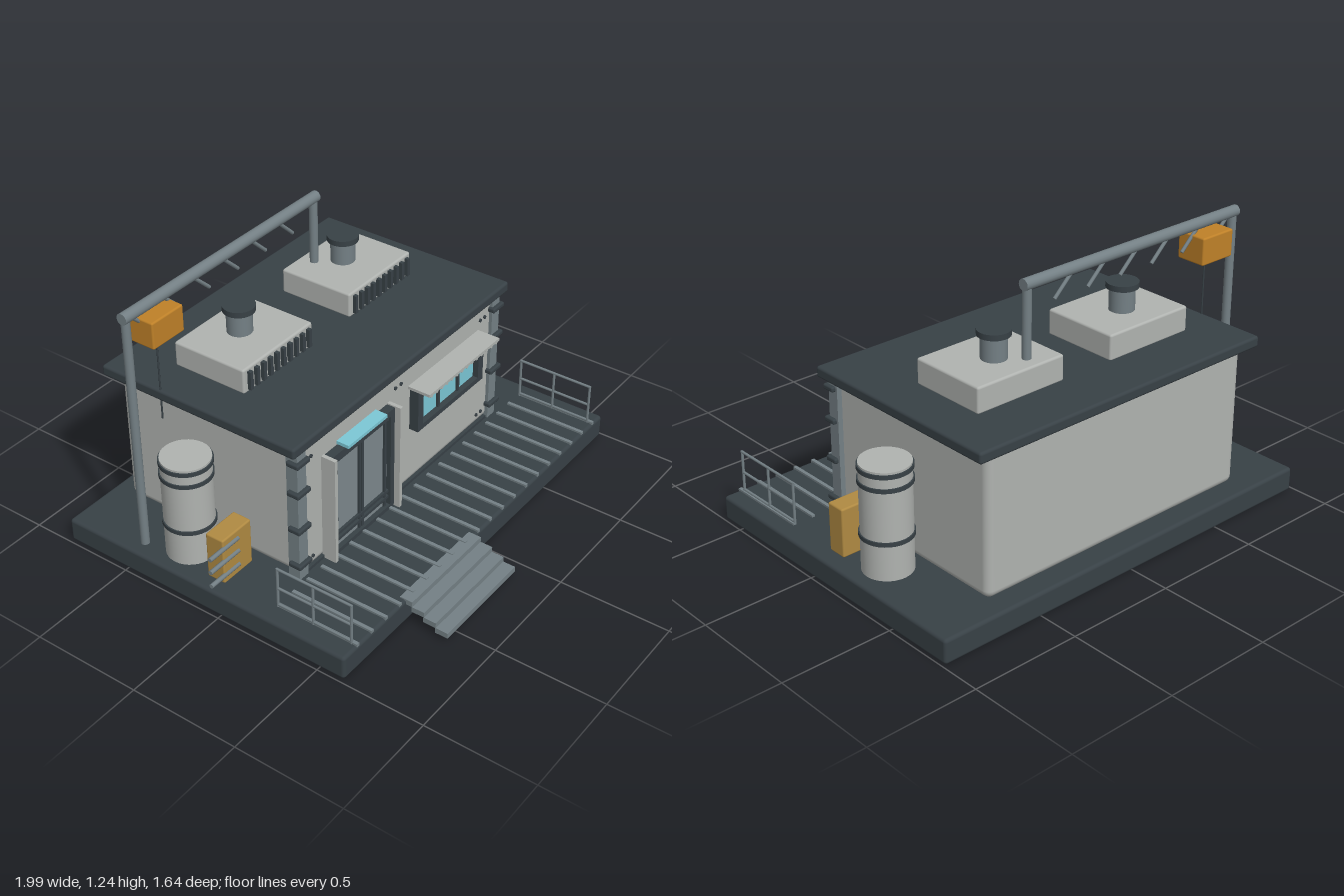
import * as THREE from 'three';
import { RoundedBoxGeometry } from 'three/addons/geometries/RoundedBoxGeometry.js';

const mat = (color) => new THREE.MeshStandardMaterial({ color });

export function createModel() {
  const root = new THREE.Group();
  const dark = mat(0x384146), wall = mat(0xb0b3b0), steel = mat(0x748085), pane = mat(0x7d888c);
  const ochre = mat(0xb08a42), orange = mat(0xbf8128), glass = mat(0x7cc8d6);

  const add = (name, geometry, material, parent = root) => {
    const mesh = new THREE.Mesh(geometry, material);
    mesh.name = name;
    parent.add(mesh);
    return mesh;
  };
  // Box given by its extents on each axis; r rounds the edges
  const box = (name, [x0, x1], [y0, y1], [z0, z1], material, r = 0, parent = root) => {
    const s = [x1 - x0, y1 - y0, z1 - z0];
    const m = add(name, r ? new RoundedBoxGeometry(...s, 3, r) : new THREE.BoxGeometry(...s), material, parent);
    m.position.set((x0 + x1) / 2, (y0 + y1) / 2, (z0 + z1) / 2);
    return m;
  };
  // Round rod between two points
  const rod = (name, a, b, r, material, parent = root, sides = 16) => {
    const p = new THREE.Vector3(...a), q = new THREE.Vector3(...b);
    const d = q.clone().sub(p);
    const m = add(name, new THREE.CylinderGeometry(r, r, d.length(), sides), material, parent);
    m.position.copy(p).add(q).multiplyScalar(0.5);
    m.quaternion.setFromUnitVectors(new THREE.Vector3(0, 1, 0), d.normalize());
    return m;
  };
  const group = (name) => {
    const g = new THREE.Group();
    g.name = name;
    root.add(g);
    return g;
  };

  // Main masses
  box('basePlatform', [-0.985, 0.99], [0, 0.11], [-0.82, 0.62], dark, 0.015);
  box('buildingBody', [-0.7, 0.7], [0.11, 0.75], [-0.73, 0.19], wall, 0.035);
  box('roofSlab', [-0.76, 0.77], [0.74, 0.79], [-0.77, 0.22], dark, 0.012);
  box('wallSkirting', [-0.66, 0.66], [0.11, 0.125], [0.17, 0.2], dark);

  // Corner pillars with clamps
  for (const s of [-1, 1]) {
    const g = group('cornerPillar');
    box('pillar', [s * 0.695 - 0.028, s * 0.695 + 0.028], [0.11, 0.74], [0.15, 0.205], steel, 0, g);
    for (const y of [0.185, 0.365, 0.545, 0.69])
      box('pillarClamp', [s * 0.698 - 0.042, s * 0.698 + 0.042], [y - 0.012, y + 0.012], [0.16, 0.222], dark, 0.008, g);
  }

  // Wall rivets
  for (const x of [-0.62, -0.05, -0.01, 0.59, 0.625])
    for (const y of [0.165, 0.67]) rod('wallRivet', [x, y, 0.185], [x, y, 0.197], 0.008, dark, root, 10);

  // Double door
  const door = group('door');
  box('doorPanes', [-0.52, -0.11], [0.11, 0.61], [0.18, 0.208], pane, 0, door);
  for (const x of [-0.52, -0.118]) box('doorJamb', [x - 0.013, x + 0.013], [0.11, 0.62], [0.18, 0.23], dark, 0, door);
  box('doorHeader', [-0.53, -0.105], [0.59, 0.62], [0.18, 0.23], dark, 0, door);
  box('doorSill', [-0.53, -0.105], [0.11, 0.13], [0.18, 0.23], dark, 0, door);
  for (const x of [-0.487, -0.329, -0.311, -0.152])
    box('doorStile', [x - 0.006, x + 0.006], [0.12, 0.6], [0.2, 0.218], dark, 0, door);
  for (const y of [0.17, 0.2, 0.575])
    box('doorRail', [-0.51, -0.13], [y - 0.007, y + 0.007], [0.2, 0.22], dark, 0, door);
  for (const x of [-0.543, -0.095]) box('doorFin', [x - 0.009, x + 0.009], [0.11, 0.625], [0.19, 0.258], wall, 0, door);
  box('doorLamp', [-0.45, -0.185], [0.625, 0.64], [0.19, 0.25], glass, 0, door);

  // Window with three panes and a corrugated awning
  const win = group('window');
  box('windowGlass', [0.09, 0.53], [0.41, 0.585], [0.18, 0.208], glass, 0, win);
  for (const y of [0.41, 0.588]) box('windowRail', [0.06, 0.56], [y - 0.012, y + 0.012], [0.18, 0.235], dark, 0, win);
  for (const x of [0.079, 0.541]) box('windowJamb', [x - 0.019, x + 0.019], [0.4, 0.6], [0.18, 0.235], dark, 0, win);
  for (const x of [0.24, 0.39]) box('windowMullion', [x - 0.006, x + 0.006], [0.41, 0.59], [0.18, 0.22], dark, 0, win);
  box('awning', [0.045, 0.58], [0.612, 0.625], [0.18, 0.3], wall, 0, win);
  for (let i = 0; i < 14; i++) {
    const x = 0.065 + i * 0.038;
    rod('awningRib', [x, 0.612, 0.19], [x, 0.612, 0.299], 0.009, wall, win, 8);
  }

  // Front deck slats
  for (let i = 0; i < 20; i++) {
    const x = -0.89 + i * 0.0947;
    box('deckSlat', [x - 0.008, x + 0.008], [0.105, 0.119], [0.225, 0.618], steel);
  }

  // Entrance steps
  for (let i = 0; i < 4; i++)
    box('step', [-0.57, -0.07], [0.015 + i * 0.025, 0.04 + i * 0.025], [0.76 - i * 0.057, 0.82 - i * 0.057], steel);

  // Side railings
  for (const x of [-0.895, 0.905]) {
    const g = group('railing');
    for (const z of [0.23, 0.405, 0.59]) rod('railingPost', [x, 0.11, z], [x, 0.305, z], 0.006, steel, g, 8);
    for (const y of [0.122, 0.205, 0.302]) rod('railingBar', [x, y, 0.23], [x, y, 0.594], 0.006, steel, g, 8);
  }

  // Storage tanks, electric cabinets and their conduits
  for (const s of [-1, 1]) {
    const tank = group('tank');
    tank.position.set(s * 0.825, 0, -0.28);
    rod('tankBody', [0, 0.11, 0], [0, 0.588, 0], 0.107, wall, tank, 32);
    for (const y of [0.275, 0.51, 0.57]) rod('tankBand', [0, y - 0.009, 0], [0, y + 0.009, 0], 0.113, dark, tank, 32);

    const cab = group('cabinet');
    cab.position.set(s * 0.83, 0, -0.07);
    box('cabinetBox', [-0.088, 0.088], [0.11, 0.33], [-0.045, 0.045], ochre, 0.008, cab);
    for (const y of [0.155, 0.225, 0.29])
      rod('conduit', [-0.17, y, 0.045], [0.005, y, 0.045], 0.01, steel, cab, 10);
  }

  // Rooftop ventilation units
  for (const x of [-0.355, 0.348]) {
    const g = group('roofUnit');
    g.position.x = x;
    box('unitHousing', [-0.223, 0.223], [0.785, 0.9], [-0.53, -0.17], wall, 0.01, g);
    for (let i = 0; i < 10; i++) {
      const f = -0.19 + i * 0.0422;
      box('ventFin', [f - 0.009, f + 0.009], [0.8, 0.885], [-0.175, -0.153], dark, 0, g);
    }
    rod('chimney', [0, 0.89, -0.37], [0, 1.01, -0.37], 0.055, steel, g, 24);
    rod('chimneyCap', [0, 1.0, -0.37], [0, 1.025, -0.37], 0.07, dark, g, 24);
  }

  // Overhead pipe gantry with hanging lamp box
  const gantry = group('pipeGantry');
  const z = -0.46;
  rod('gantryPostRight', [-0.91, 0.11, z], [-0.91, 1.21, z], 0.019, steel, gantry);
  rod('gantryPostLeft', [0.26, 0.785, z], [0.26, 1.21, z], 0.019, steel, gantry);
  rod('gantryBeam', [-0.93, 1.212, z], [0.28, 1.212, z], 0.025, steel, gantry);
  for (let i = 0; i < 6; i++) {
    const x = -0.87 + i * 0.18;
    rod('gantryBrace', [x, 1.19, z], [x + 0.085, 1.108, z], 0.008, steel, gantry, 8);
  }
  box('hangingBox', [-0.84, -0.66], [1.05, 1.172], [-0.53, -0.39], orange, 0.008, gantry);
  rod('hangingCable', [-0.75, 0.65, z], [-0.75, 1.06, z], 0.004, dark, gantry, 6);

  return root;
}
